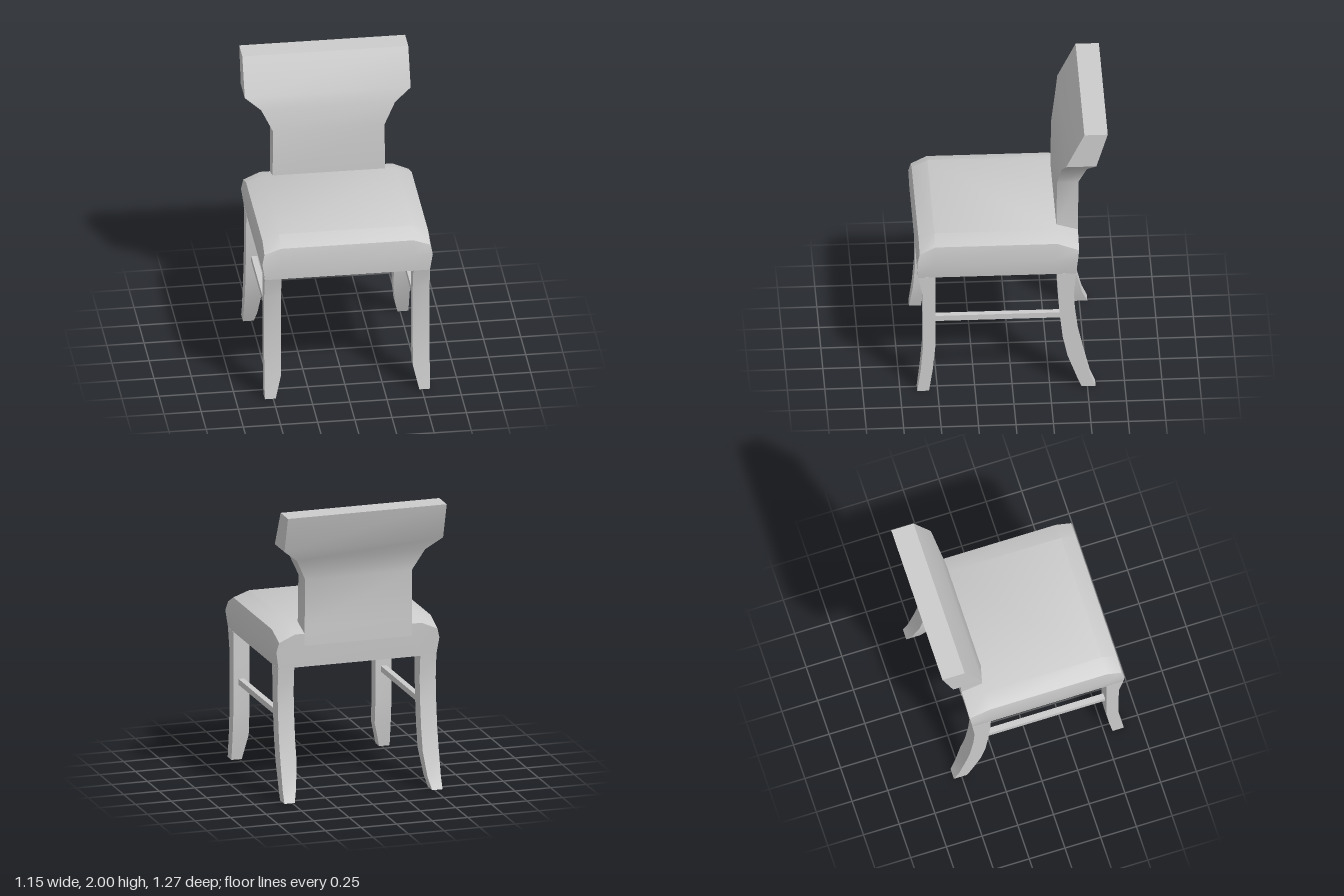
import * as THREE from 'three';
import { toCreasedNormals } from 'three/addons/utils/BufferGeometryUtils.js';

const material = new THREE.MeshStandardMaterial({ color: 0xcccccc });

// Skin a stack of rings (bottom to top, counterclockwise from above) and cap both ends.
function loft(name, rings) {
  const pos = [];
  const tri = (a, b, c) => {
    const area = new THREE.Triangle(
      new THREE.Vector3(...a), new THREE.Vector3(...b), new THREE.Vector3(...c)).getArea();
    if (area > 1e-7) pos.push(...a, ...b, ...c);
  };
  const n = rings[0].length;
  for (let i = 0; i < rings.length - 1; i++) {
    const lo = rings[i], hi = rings[i + 1];
    for (let j = 0; j < n; j++) {
      const k = (j + 1) % n;
      tri(lo[j], lo[k], hi[k]);
      tri(lo[j], hi[k], hi[j]);
    }
  }
  const bottom = rings[0], top = rings[rings.length - 1];
  for (let j = 1; j < n - 1; j++) {
    tri(bottom[0], bottom[j + 1], bottom[j]);
    tri(top[0], top[j], top[j + 1]);
  }
  const geometry = new THREE.BufferGeometry();
  geometry.setAttribute('position', new THREE.Float32BufferAttribute(pos, 3));
  const mesh = new THREE.Mesh(toCreasedNormals(geometry, 0.55), material);
  mesh.name = name;
  return mesh;
}

// Rectangular ring at height y.
const rect = (y, x0, x1, front, back) =>
  [[x0, y, front], [x1, y, front], [x1, y, back], [x0, y, back]];

// Seat ring: four corners plus two points along each edge, with separate heights.
function seatRing(x, front, back, inX, inFront, inBack, yCorner, ySide, yFront, yBack) {
  return [
    [-x, yCorner, front], [-inX, yFront, front], [inX, yFront, front],
    [x, yCorner, front], [x, ySide, inFront], [x, ySide, inBack],
    [x, yCorner, back], [inX, yBack, back], [-inX, yBack, back],
    [-x, yCorner, back], [-x, ySide, inBack], [-x, ySide, inFront],
  ];
}

export function createModel() {
  const chair = new THREE.Group();
  chair.name = 'chair';

  // Cushioned seat with sloping rim and dropped corners
  const inner = [0.445, 0.515, -0.3];
  chair.add(loft('seat', [
    seatRing(0.555, 0.63, -0.425, ...inner, 0.9, 0.9, 0.9, 0.9),
    seatRing(0.573, 0.636, -0.437, ...inner, 1.02, 1.02, 1.02, 1.02),
    seatRing(0.557, 0.62, -0.445, ...inner, 1.085, 1.14, 1.125, 1.135),
    seatRing(0.445, 0.515, -0.3, ...inner, 1.18, 1.18, 1.18, 1.18),
  ]));

  // Backrest: [y, half width, front z, back z]
  const back = [
    [1.05, 0.378, -0.302, -0.443],
    [1.18, 0.378, -0.302, -0.447],
    [1.51, 0.375, -0.307, -0.45],
    [1.66, 0.45, -0.335, -0.503],
    [1.75, 0.558, -0.358, -0.56],
    [2.0, 0.558, -0.48, -0.636],
  ];
  chair.add(loft('backrest', back.map(([y, w, f, b]) => rect(y, -w, w, f, b))));

  // Curved legs: [y, inner x, front z, back z]
  const frontLeg = [
    [0, 0.483, 0.636, 0.557],
    [0.17, 0.443, 0.612, 0.532],
    [0.35, 0.443, 0.597, 0.515],
    [0.76, 0.443, 0.6, 0.515],
    [0.9, 0.443, 0.63, 0.515],
  ];
  const backLeg = [
    [0, 0.483, -0.462, -0.555],
    [0.08, 0.463, -0.429, -0.519],
    [0.25, 0.443, -0.367, -0.475],
    [0.4, 0.443, -0.335, -0.442],
    [0.58, 0.443, -0.315, -0.42],
    [0.74, 0.443, -0.303, -0.41],
    [0.9, 0.443, -0.296, -0.425],
  ];
  for (const [side, s] of [['left', 1], ['right', -1]]) {
    for (const [name, profile] of [['FrontLeg', frontLeg], ['BackLeg', backLeg]]) {
      chair.add(loft(side + name, profile.map(([y, x, f, b]) =>
        rect(y, Math.min(s * x, s * 0.556), Math.max(s * x, s * 0.556), f, b))));
    }
    // Stretcher between the front and back legs
    const stretcher = new THREE.Mesh(new THREE.BoxGeometry(0.04, 0.04, 0.86), material);
    stretcher.position.set(s * 0.5, 0.55, 0.1);
    stretcher.name = side + 'Stretcher';
    chair.add(stretcher);
  }
  return chair;
}
